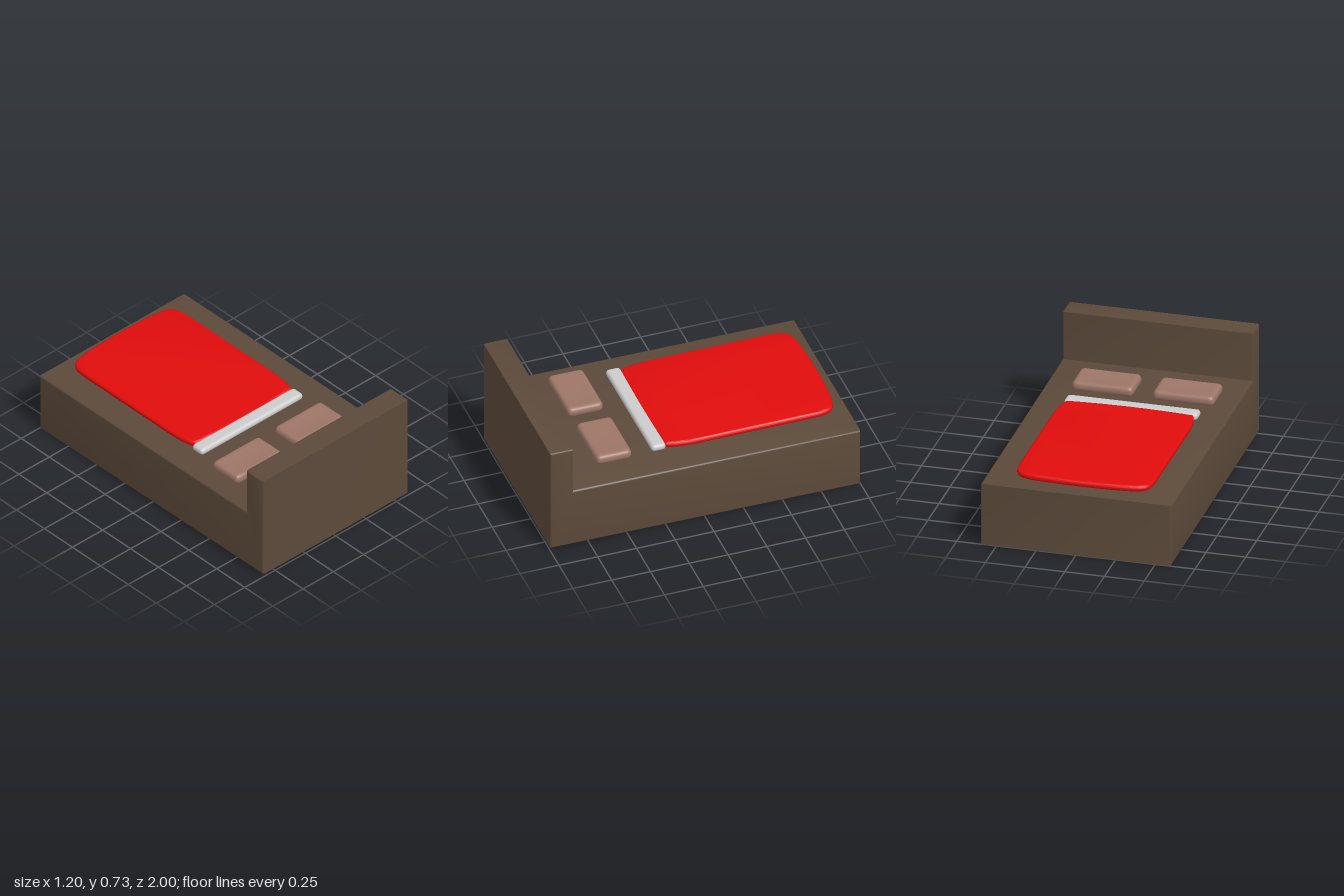
import * as THREE from 'three';
import { mergeVertices, toCreasedNormals } from 'three/addons/utils/BufferGeometryUtils.js';

const paint = (color) => new THREE.MeshStandardMaterial({ color });

function addMesh(group, name, geometry, material) {
  const mesh = new THREE.Mesh(geometry, material);
  mesh.name = name;
  group.add(mesh);
  return mesh;
}

// Box with fully rounded edges; dent sinks the middle of the top and bottom
function softBox(w, h, d, r, dent = 0) {
  const geo = new THREE.BoxGeometry(2, 2, 2, 24, 12, 24);
  geo.deleteAttribute('normal');
  geo.deleteAttribute('uv');
  const merged = mergeVertices(geo);
  const pos = merged.attributes.position;
  const half = new THREE.Vector3(w / 2, h / 2, d / 2);
  const inner = half.clone().subScalar(r);
  const p = new THREE.Vector3(), core = new THREE.Vector3();
  const ease = (t) => Math.sin(t * Math.PI / 2);
  for (let i = 0; i < pos.count; i++) {
    p.fromBufferAttribute(pos, i);
    p.set(ease(p.x), ease(p.y), ease(p.z));
    const falloff = (1 - p.x * p.x) * (1 - p.z * p.z);
    p.multiply(half);
    core.copy(p).clamp(inner.clone().negate(), inner);
    p.sub(core).setLength(r).add(core);
    p.y *= 1 - dent * falloff;
    pos.setXYZ(i, p.x, p.y, p.z);
  }
  merged.computeVertexNormals();
  return merged;
}

export function createModel() {
  const bed = new THREE.Group();
  bed.name = 'bed';
  const brown = paint(0x5c4a3a);
  const red = paint(0xe00c0c);
  const white = paint(0xcccccc);
  const rose = paint(0x9c7567);

  // Base and headboard: one side profile (z, y) swept across the width
  const b = 0.012;
  const side = new THREE.Shape([
    [-1 + b, 0.003 + b], [1 - b, 0.022 + b], [1 - b, 0.735 - b],
    [0.85 + b, 0.735 - b], [0.85 + b, 0.42 - b], [-1 + b, 0.405 - b],
  ].map(([z, y]) => new THREE.Vector2(z, y)));
  const frame = new THREE.ExtrudeGeometry(side, {
    depth: 1.2 - 2 * b, bevelEnabled: true, bevelThickness: b, bevelSize: b, bevelSegments: 3,
  });
  frame.translate(0, 0, -0.6 + b);
  frame.rotateY(-Math.PI / 2);
  addMesh(bed, 'frameWithHeadboard', toCreasedNormals(frame, 0.7), brown);

  // Blanket: outline in plan (x, z), bowed at both ends, with a rounded rim
  const t = 0.018;
  const plan = new THREE.Shape();
  plan.moveTo(-0.415 + t, 0.186 - t);
  plan.quadraticCurveTo(-0.01, 0.224 - t, 0.395 - t, 0.186 - t);
  plan.quadraticCurveTo(0.42 - t, 0.1, 0.42 - t, -0.02);
  plan.lineTo(0.42 - t, -0.78);
  plan.bezierCurveTo(0.415 - t, -0.89, 0.39 - t, -0.91 + t, 0.28, -0.925 + t);
  plan.quadraticCurveTo(-0.01, -0.95 + t, -0.3, -0.925 + t);
  plan.bezierCurveTo(-0.41 + t, -0.91 + t, -0.435 + t, -0.89, -0.44 + t, -0.78);
  plan.lineTo(-0.44 + t, -0.02);
  plan.quadraticCurveTo(-0.44 + t, 0.1, -0.415 + t, 0.186 - t);
  const blanket = new THREE.ExtrudeGeometry(plan, {
    depth: 0.004, bevelEnabled: true, bevelThickness: t, bevelSize: t, bevelSegments: 6, curveSegments: 16,
  });
  blanket.rotateX(Math.PI / 2);
  blanket.translate(0, 0.45, 0);
  addMesh(bed, 'blanket', toCreasedNormals(blanket, 0.8), red);

  // Folded edge of the sheet
  addMesh(bed, 'sheetFold', softBox(0.84, 0.046, 0.094, 0.0225), white)
    .position.set(-0.015, 0.447, 0.228);

  // Pair of pillows
  const pillow = softBox(0.385, 0.068, 0.23, 0.031, 0.22);
  for (const [name, x] of [['rightPillow', -0.283], ['leftPillow', 0.227]]) {
    const mesh = addMesh(bed, name, pillow, rose);
    mesh.position.set(x, 0.456, 0.52);
    mesh.rotation.x = -0.01;
  }
  return bed;
}
